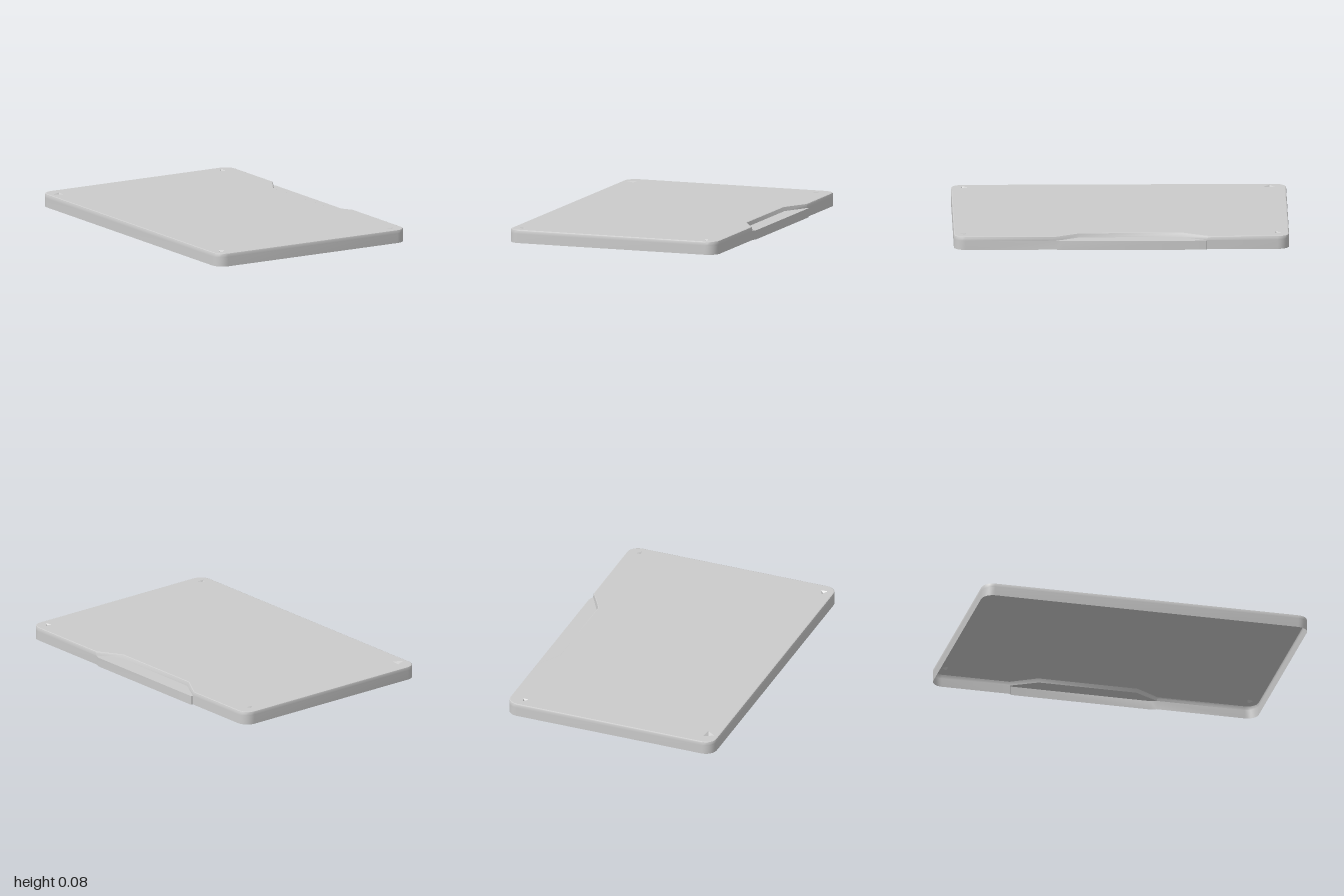
import * as THREE from 'three';
import { toCreasedNormals } from 'three/addons/utils/BufferGeometryUtils.js';

const material = new THREE.MeshStandardMaterial({ color: 0xcccccc, side: THREE.DoubleSide });
const TOP = 0.08, LEDGE = 0.055;
const X0 = -0.675, X1 = 0.655, Z = 1, R = 0.07;

// Rounded rectangle in [x, z]; `side` gives the points along its +x edge.
function outline(inset, side) {
  const pts = [];
  const centres = [[X1 - R, Z - R], [X0 + R, Z - R], [X0 + R, R - Z], [X1 - R, R - Z]];
  const r = R - inset;
  centres.forEach(([cx, cz], k) => {
    for (let i = 0; i <= 6; i++) {
      const a = (k + i / 6) * Math.PI / 2;
      pts.push([cx + r * Math.cos(a), cz + r * Math.sin(a)]);
    }
  });
  return pts.concat(side.map(([x, z]) => [x - inset, z]));
}

// Skin between successive rings of equal length, each { y, pts }.
function loft(rings) {
  const pos = [];
  for (let k = 0; k + 1 < rings.length; k++) {
    const lo = rings[k], up = rings[k + 1], n = lo.pts.length;
    for (let i = 0; i < n; i++) {
      const j = (i + 1) % n;
      const at = (ring, m) => [ring.pts[m][0], ring.y, ring.pts[m][1]];
      const a = at(lo, i), b = at(lo, j), c = at(up, i), d = at(up, j);
      pos.push(...a, ...c, ...b, ...b, ...c, ...d);
    }
  }
  const geo = new THREE.BufferGeometry();
  geo.setAttribute('position', new THREE.Float32BufferAttribute(pos, 3));
  return toCreasedNormals(geo, 0.6);
}

// Flat horizontal panel at height y.
function panel(pts, y, holes = []) {
  const flat = (list) => list.map(([x, z]) => new THREE.Vector2(x, -z));
  const shape = new THREE.Shape(flat(pts));
  holes.forEach((h) => shape.holes.push(new THREE.Path(flat(h))));
  return new THREE.ShapeGeometry(shape).rotateX(-Math.PI / 2).translate(0, y, 0);
}

export function createModel() {
  const group = new THREE.Group();
  const add = (name, geo) => {
    const mesh = new THREE.Mesh(geo, material);
    mesh.name = name;
    group.add(mesh);
  };

  const ledgeEdge = [[X1, -0.51], [0.668, -0.505], [0.668, 0.355], [X1, 0.39]];
  const notchFoot = [[X1, -0.51], [0.572, -0.355], [0.572, 0.245], [X1, 0.39]];
  const notchTop = [[X1, -0.515], [0.567, -0.36], [0.567, 0.25], [X1, 0.395]];

  // Lower skirt, open underneath, bulging out at the ledge
  add('skirt', loft([
    { y: 0, pts: outline(0, ledgeEdge) },
    { y: LEDGE, pts: outline(0, ledgeEdge) },
  ]));

  // Upper rim with the thumb notch and a softened top edge
  add('upperRim', loft([
    { y: LEDGE, pts: outline(0, notchFoot) },
    { y: TOP - 0.007, pts: outline(0, notchTop) },
    { y: TOP - 0.002, pts: outline(0.002, notchTop) },
    { y: TOP, pts: outline(0.007, notchTop) },
  ]));

  // Ledge floor inside the notch
  add('notchLedge', panel([...notchFoot, ledgeEdge[2], ledgeEdge[1]], LEDGE));

  // Small three-sided dimples near the corners: x, z, radius, turn
  const depth = 0.014;
  const dimples = [[-0.61, -0.9, 0.038, 0.6], [0.56, -0.93, 0.022, 2.2],
    [0.575, 0.94, 0.022, 1.2], [-0.61, 0.925, 0.026, 0]];
  const holes = dimples.map(([x, z, r, turn]) => [0, 1, 2].map((i) => {
    const a = turn + i * Math.PI * 2 / 3;
    return [x + r * Math.sin(a), z - r * Math.cos(a)];
  }));
  dimples.forEach(([x, z, r, turn]) => {
    const cone = new THREE.ConeGeometry(r, depth, 3, 1, true, turn).rotateX(Math.PI);
    add('cornerDimple', toCreasedNormals(cone.translate(x, TOP - depth / 2, z), 0.3));
  });

  add('topPanel', panel(outline(0.007, notchTop), TOP, holes));
  return group;
}
